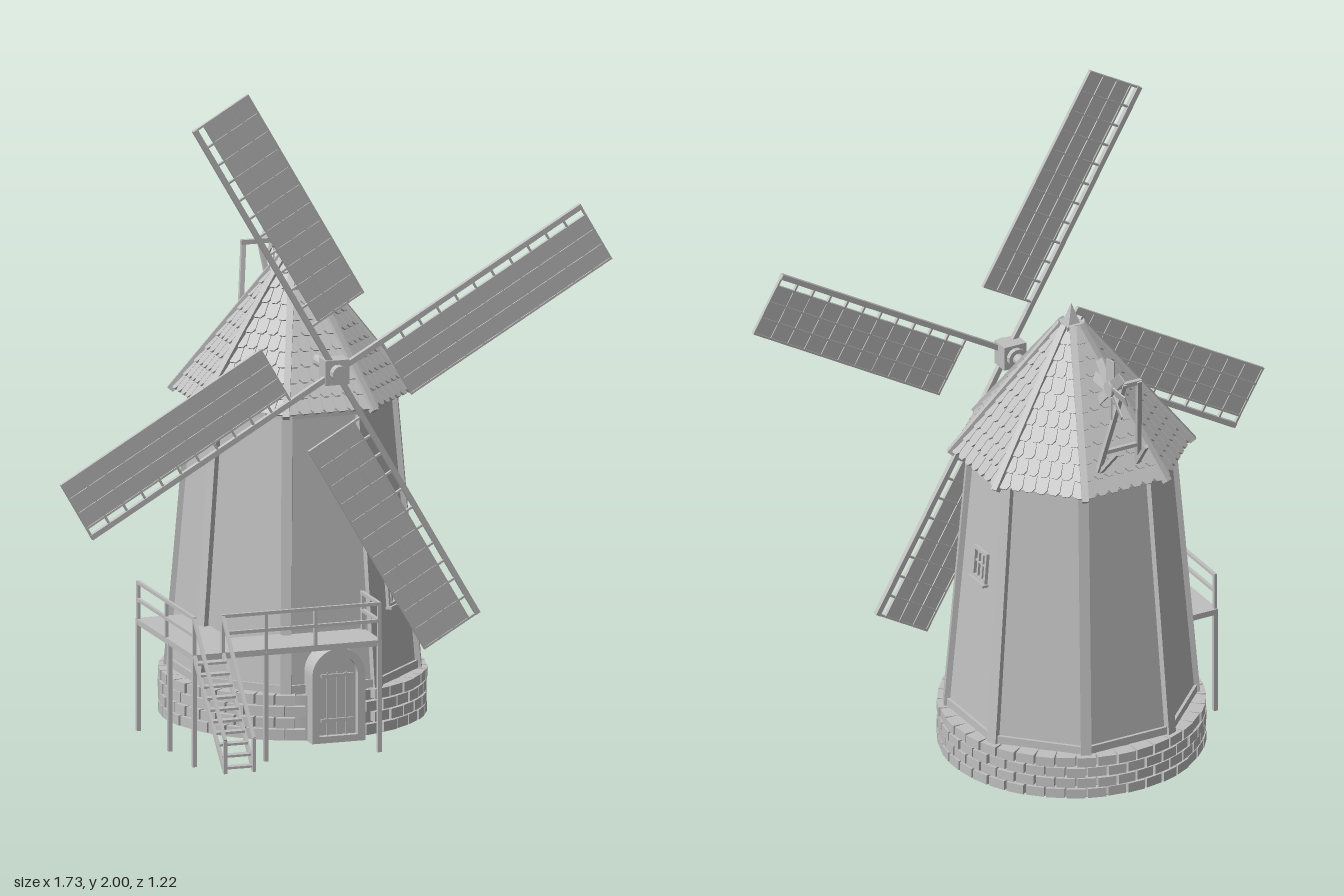
import * as THREE from 'three';
import { mergeGeometries } from 'three/addons/utils/BufferGeometryUtils.js';

const grey = new THREE.MeshStandardMaterial({ color: 0xc0c0c0 });
grey.name = 'plain grey';
const greyThin = new THREE.MeshStandardMaterial({ color: 0xc0c0c0, side: THREE.DoubleSide });
greyThin.name = 'plain grey open surface';

const CZ = -0.16;                 // tower axis
const STEP = Math.PI / 4;         // one octagon facet
const COS = Math.cos(STEP / 2);
const v = (x, y, z) => new THREE.Vector3(x, y, z);

function part(parent, name, geos, mat = grey) {
  const plain = geos.map(g => {
    const n = g.index ? g.toNonIndexed() : g;
    n.deleteAttribute('uv');
    return n;
  });
  const mesh = new THREE.Mesh(mergeGeometries(plain), mat);
  mesh.name = name;
  parent.add(mesh);
  return mesh;
}
const flat = g => { const n = g.toNonIndexed(); n.computeVertexNormals(); return n; };
const box = (w, h, d, x, y, z) => new THREE.BoxGeometry(w, h, d).translate(x, y, z);
// Box range: x0..x1, y0..y1, z0..z1
const span = (x0, x1, y0, y1, z0, z1) =>
  box(x1 - x0, y1 - y0, z1 - z0, (x0 + x1) / 2, (y0 + y1) / 2, (z0 + z1) / 2);
function beam(a, b, w, d = w) {
  const dir = b.clone().sub(a);
  const q = new THREE.Quaternion().setFromUnitVectors(v(0, 1, 0), dir.clone().normalize());
  const mid = a.clone().add(b).multiplyScalar(0.5);
  return new THREE.BoxGeometry(w, dir.length(), d).applyQuaternion(q).translate(mid.x, mid.y, mid.z);
}
// Turn a piece made facing +z round the tower axis
const around = (g, angle) => g.rotateY(angle).translate(0, 0, CZ);
const octagon = (rTop, rBottom, y0, y1) =>
  flat(new THREE.CylinderGeometry(rTop, rBottom, y1 - y0, 8, 1, false, STEP / 2))
    .translate(0, (y0 + y1) / 2, CZ);
function archShape(w, y0, top) {
  const s = new THREE.Shape();
  s.moveTo(-w, y0).lineTo(w, y0).lineTo(w, top - w);
  s.absarc(0, top - w, w, 0, Math.PI, false);
  s.lineTo(-w, y0);
  return s;
}
const extrude = (s, depth, z) =>
  new THREE.ExtrudeGeometry(s, { depth, bevelEnabled: false, curveSegments: 12 }).translate(0, 0, z);

function makeBase(root) {
  let seed = 7;
  const rnd = () => (seed = (seed * 16807) % 2147483647) / 2147483647;
  const N = 40, gap = 0.22, bricks = [];
  for (let row = 0; row < 4; row++) {
    for (let i = 0; i < N; i++) {
      const a = (i + (row % 2) / 2) / N * Math.PI * 2;
      if (Math.cos(a) > Math.cos(gap + 0.05)) continue;
      const r = 0.371 + rnd() * 0.005;
      bricks.push(around(box(0.055, 0.03, 0.046, 0, 0.045 + row * 0.0345, r), a));
    }
  }
  part(root, 'stoneBricks', bricks);
  part(root, 'mortarRing', [new THREE.CylinderGeometry(0.376, 0.376, 0.135, 64, 1, true, gap, Math.PI * 2 - 2 * gap)
    .translate(0, 0.09, CZ)], greyThin);
  part(root, 'towerFloor', [new THREE.CylinderGeometry(0.372, 0.372, 0.01, 48).translate(0, 0.153, CZ)]);
}

function makeTower(root) {
  part(root, 'towerWalls', [octagon(0.298, 0.372, 0.155, 1.02)]);
  const posts = [], trims = [];
  for (let k = 0; k < 8; k++) {
    const a = (k + 0.5) * STEP;
    posts.push(around(beam(v(0, 0.16, 0.371), v(0, 1.01, 0.298), 0.032, 0.022), a));
    trims.push(around(box(0.28, 0.025, 0.014, 0, 0.175, 0.343), k * STEP));
    trims.push(around(box(0.225, 0.03, 0.014, 0, 0.995, 0.279), k * STEP));
  }
  part(root, 'cornerPosts', posts);
  part(root, 'wallTrim', trims);

  // Windows on the side facet and on the front side facet
  for (const [y, a] of [[0.68, 2 * STEP], [0.43, STEP]]) {
    const ap = (0.372 - (y - 0.155) * 0.0855) * COS, g = [];
    for (const s of [-1, 1]) {
      g.push(box(0.01, 0.1, 0.02, s * 0.034, 0, 0), box(0.078, 0.01, 0.02, 0, s * 0.045, 0));
      g.push(box(0.006, 0.08, 0.014, s * 0.012, 0, 0));
    }
    g.push(box(0.09, 0.008, 0.03, 0, -0.052, 0.004), box(0.064, 0.005, 0.014, 0, 0.005, 0));
    part(root, 'window', g.map(p => around(p.rotateX(-0.079).translate(0, y, ap), a)));
  }
}

function makeDoor(root) {
  const frame = archShape(0.083, 0.02, 0.305);
  frame.holes.push(archShape(0.06, 0.04, 0.282));
  part(root, 'doorFrame', [extrude(frame, 0.15, 0.1)]);
  part(root, 'door', [extrude(archShape(0.061, 0.03, 0.283), 0.125, 0.105)]);
  const bands = [-0.03, 0, 0.03].map(x => box(0.003, 0.19, 0.006, x, 0.135, 0.232));
  bands.push(box(0.1, 0.01, 0.008, 0, 0.085, 0.233), box(0.1, 0.01, 0.008, 0, 0.22, 0.233));
  part(root, 'doorBands', bands);
}

function makeRoof(root) {
  const y0 = 1.005, y1 = 1.41, r0 = 0.35, r1 = 0.03;
  part(root, 'roofCore', [octagon(r1, r0, y0, y1)]);
  const tilt = Math.atan((r0 - r1) * COS / (y1 - y0));
  const tab = (w, h) => {
    const s = new THREE.Shape();
    s.moveTo(-w / 2, h).lineTo(-w / 2, 0.012).lineTo(-w * 0.25, 0).lineTo(w * 0.25, 0)
      .lineTo(w / 2, 0.012).lineTo(w / 2, h);
    return s;
  };
  const shingles = [], ridges = [], rows = 10;
  for (let k = 0; k < 8; k++) {
    for (let row = 0; row < rows; row++) {
      const t = row / rows, y = y0 - 0.004 + (y1 - y0) * t, r = r0 + (r1 - r0) * t;
      const width = 2 * r * Math.sin(STEP / 2);
      const n = Math.max(1, Math.round(width / 0.037)), w = width / n;
      for (let i = 0; i < n; i++) {
        shingles.push(around(extrude(tab(w * 0.95, 0.056), 0.007, 0)
          .rotateX(-tilt - 0.1).translate((i - (n - 1) / 2) * w, y, r * COS + 0.005), k * STEP));
      }
    }
    ridges.push(around(beam(v(0, y0 - 0.008, r0 + 0.012), v(0, y1, r1), 0.02, 0.022), (k + 0.5) * STEP));
  }
  part(root, 'roofShingles', shingles);
  part(root, 'roofRidges', ridges);
  part(root, 'finial', [
    box(0.06, 0.016, 0.06, 0, 1.405, CZ),
    flat(new THREE.ConeGeometry(0.03, 0.07, 4, 1, false, Math.PI / 4)).translate(0, 1.44, CZ),
  ]);
}

function makeSails(root) {
  const hub = new THREE.Group();
  hub.name = 'sailWheel';
  hub.position.set(0, 1.14, 0.225);
  root.add(hub);
  const rod = (r, z0, z1, n) => flat(new THREE.CylinderGeometry(r, r, z1 - z0, n, 1, false, Math.PI / n))
    .rotateX(Math.PI / 2).translate(0, 0, (z0 + z1) / 2);
  part(hub, 'axle', [rod(0.017, -0.25, 0, 12)]);
  part(hub, 'hubBlock', [box(0.075, 0.075, 0.06, 0, 0, -0.015), rod(0.03, -0.06, -0.04, 12)]);
  part(hub, 'hubCap', [rod(0.025, 0, 0.042, 12)]);

  const start = 0.16, end = 0.887, bars = 12;
  for (let k = 0; k < 4; k++) {
    const sail = new THREE.Group();
    sail.name = 'sail';
    sail.rotation.z = Math.PI / 6 + k * Math.PI / 2;
    hub.add(sail);
    part(sail, 'sailSpar', [span(0, end, -0.008, 0.008, -0.008, 0.008)]);
    part(sail, 'sailCloth', [span(start, end, -0.19, -0.03, -0.002, 0.002)]);
    const lattice = [-0.032, -0.085, -0.138, -0.19].map(y => span(start, end, y - 0.003, y + 0.003, -0.006, 0.006));
    for (let i = 0; i < bars; i++) {
      const x = start + 0.003 + (end - start - 0.006) * i / (bars - 1);
      lattice.push(span(x - 0.003, x + 0.003, -0.193, 0, -0.005, 0.005));
    }
    part(sail, 'sailLattice', lattice);
  }
}

function makeFantail(root) {
  const frame = [];
  for (const s of [-1, 1]) {
    frame.push(beam(v(s * 0.07, 1.04, -0.44), v(s * 0.025, 1.375, -0.525), 0.014));
    frame.push(beam(v(s * 0.062, 1.05, -0.44), v(s * 0.05, 1.15, -0.525), 0.012));
  }
  frame.push(box(0.12, 0.012, 0.012, 0, 1.13, -0.463));
  frame.push(beam(v(-0.035, 1.37, -0.52), v(0.075, 1.37, -0.52), 0.014));
  part(root, 'fantailFrame', frame);
  const wheel = new THREE.Group();
  wheel.name = 'fantailWheel';
  wheel.position.set(0.068, 1.37, -0.52);
  root.add(wheel);
  part(wheel, 'fantailHub', [new THREE.CylinderGeometry(0.024, 0.024, 0.02, 16).rotateZ(Math.PI / 2)]);
  const blades = [];
  for (let i = 0; i < 8; i++) {
    blades.push(new THREE.BoxGeometry(0.004, 0.072, 0.032).rotateY(0.3).translate(0, 0.06, 0).rotateX(i * STEP));
  }
  part(wheel, 'fantailBlades', blades);
}

function makePlatform(root) {
  const X0 = -0.48, X1 = 0.1, ZF = 0.325, TOP = 0.34, RAIL = 0.455, SX = -0.39;
  part(root, 'platformDeck', [span(-0.485, -0.31, 0.322, TOP, -0.18, 0.33), span(-0.31, 0.107, 0.322, TOP, 0.155, 0.33)]);
  const legs = [[X0, ZF], [X0, 0.11], [X0, -0.17], [-0.255, ZF], [X1, ZF]];
  part(root, 'platformLegs', legs.map(([x, z]) => box(0.013, 0.33, 0.013, x, 0.165, z)));

  // Railings along the outer and front edges
  const posts = [[X0, ZF], [X0, 0.08], [X0, -0.17], [SX, ZF], [-0.255, ZF], [-0.1, ZF], [X1, ZF], [X1, 0.18]];
  const rails = posts.map(([x, z]) => span(x - 0.005, x + 0.005, TOP, RAIL, z - 0.005, z + 0.005));
  for (const y of [0.398, RAIL - 0.005]) {
    rails.push(beam(v(X0, y, -0.17), v(X0, y, ZF), 0.01));
    rails.push(beam(v(SX, y, ZF), v(X1, y, ZF), 0.01));
    rails.push(beam(v(X1, y, 0.17), v(X1, y, ZF), 0.01));
  }
  part(root, 'platformRailing', rails);

  // Stairs down to the front
  const stringers = [], handrails = [], treads = [], n = 10;
  for (const x of [X0, SX]) {
    stringers.push(beam(v(x, 0.335, 0.328), v(x, 0.045, 0.6), 0.01, 0.014));
    handrails.push(beam(v(x, RAIL - 0.005, ZF), v(x, 0.14, 0.6), 0.01));
    handrails.push(box(0.01, 0.1, 0.01, x, 0.09, 0.6));
  }
  for (let i = 0; i < n; i++) {
    const t = (i + 0.6) / n;
    treads.push(box(SX - X0, 0.007, 0.028, (X0 + SX) / 2, 0.335 - 0.29 * t, 0.33 + 0.27 * t));
  }
  part(root, 'stairStringers', stringers);
  part(root, 'stairHandrails', handrails);
  part(root, 'stairTreads', treads);
}

export function createModel() {
  const root = new THREE.Group();
  root.name = 'windmill';
  [makeBase, makeTower, makeDoor, makeRoof, makeSails, makeFantail, makePlatform].forEach(make => make(root));
  return root;
}
